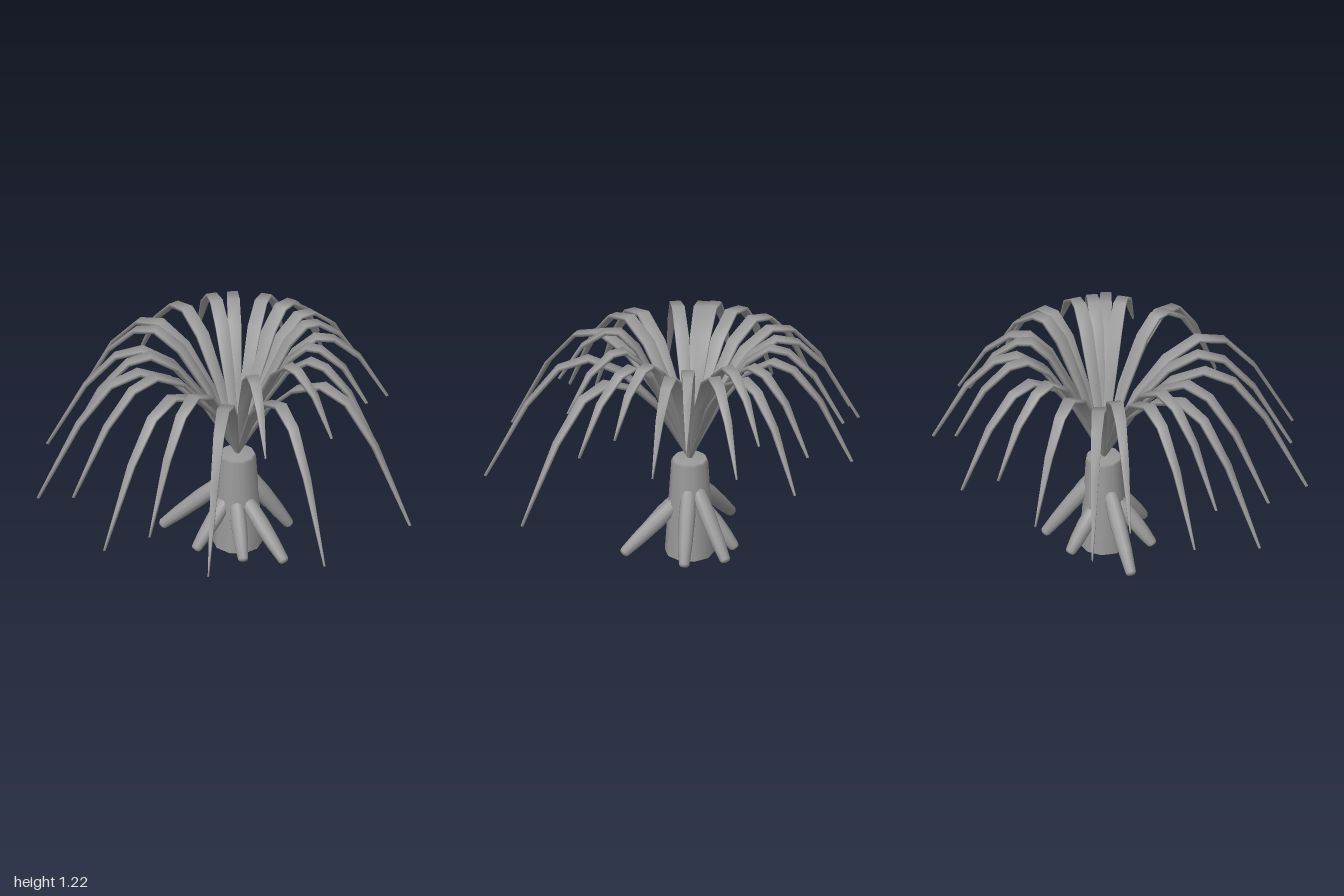
import * as THREE from 'three';

const material = new THREE.MeshStandardMaterial({ color: 0x999999 });
const CX = 0.09, CZ = -0.04; // plant axis

// Blade profiles (reach, height): longest drooping blade and shortest upright blade
const LONG = [[0, 0.53], [0.18, 0.86], [0.34, 1.03], [0.51, 1.11], [0.66, 1.06], [0.82, 0.86], [1.03, 0.455]];
const SHORT = [[0, 0.53], [0.14, 0.88], [0.27, 1.13], [0.36, 1.215], [0.43, 1.21], [0.55, 1.12], [0.67, 0.92]];
const HALF_WIDTH = [0.008, 0.026, 0.034, 0.032, 0.027, 0.019, 0.003];
const HALF_THICK = [0.006, 0.009, 0.009, 0.009, 0.009, 0.009, 0.007];

// Blade tips (x, z) seen from above
const TIPS = [
  [0.05, -0.99], [-0.13, -0.88], [-0.45, -0.83], [-0.76, -0.65], [-0.54, -0.64], [-0.78, -0.41],
  [-0.94, -0.09], [-0.84, 0.12], [-0.81, 0.47], [-0.34, 0.47], [-0.38, 0.875], [0.01, 0.62],
  [0.18, 0.985], [0.26, 0.7], [0.375, 0.56], [0.635, 0.49], [0.665, 0.31], [0.84, 0.12],
  [0.77, -0.05], [0.94, -0.16], [0.81, -0.31], [0.75, -0.6], [0.56, -0.66], [0.35, -0.87],
];

// Tapered strap-like blade with a rectangular cross-section and soft normals
function makeBlade([tx, tz]) {
  const dx = tx - CX, dz = tz - CZ, reach = Math.hypot(dx, dz);
  const t = THREE.MathUtils.clamp((1.03 - reach) / 0.36, 0, 1);
  const path = LONG.map((p, i) => [
    THREE.MathUtils.lerp(p[0], SHORT[i][0], t),
    THREE.MathUtils.lerp(p[1], SHORT[i][1], t),
  ]);
  const stretch = reach / path[6][0];
  const pos = [], idx = [];
  path.forEach(([r, y], i) => {
    const a = path[Math.max(i - 1, 0)], b = path[Math.min(i + 1, 6)];
    const len = Math.hypot(b[0] - a[0], b[1] - a[1]);
    const w = HALF_WIDTH[i], h = HALF_THICK[i];
    const ox = -(b[1] - a[1]) / len * h, oy = (b[0] - a[0]) / len * h;
    const x = r * stretch;
    pos.push(x - ox, y - oy, w, x + ox, y + oy, w, x + ox, y + oy, -w, x - ox, y - oy, -w);
    if (i === 6) return;
    for (let k = 0; k < 4; k++) {
      const p = i * 4 + k, q = i * 4 + (k + 1) % 4;
      idx.push(p, p + 4, q, q, p + 4, q + 4);
    }
  });
  idx.push(24, 26, 25, 24, 27, 26); // tip cap
  const geo = new THREE.BufferGeometry();
  geo.setAttribute('position', new THREE.Float32BufferAttribute(pos, 3));
  geo.setIndex(idx);
  geo.computeVertexNormals();
  const blade = new THREE.Mesh(geo, material);
  blade.name = 'leafBlade';
  blade.position.set(CX, 0, CZ);
  blade.rotation.y = Math.atan2(-dz, dx);
  return blade;
}

// Tapered prop root with rounded ends, running from the trunk to its tip
function makeRoot([from, to]) {
  const a = new THREE.Vector3(...from), b = new THREE.Vector3(...to);
  const len = a.distanceTo(b);
  const profile = [[0, -0.03], [0.025, -0.02], [0.038, 0.015], [0.042, len * 0.35], [0.036, len * 0.7],
    [0.027, len - 0.012], [0.02, len], [0, len + 0.004]].map(p => new THREE.Vector2(...p));
  const root = new THREE.Mesh(new THREE.LatheGeometry(profile, 10), material);
  root.name = 'propRoot';
  root.position.copy(a);
  root.quaternion.setFromUnitVectors(new THREE.Vector3(0, 1, 0), b.sub(a).normalize());
  return root;
}

const ROOTS = [
  [[0.15, 0.385, -0.045], [0.385, 0.065, -0.08]],
  [[0.14, 0.385, -0.005], [0.31, 0.055, 0.12]],
  [[0.07, 0.28, 0.04], [0.025, 0.05, 0.31]],
  [[0.02, 0.28, -0.06], [-0.165, 0.055, -0.11]],
  [[0.05, 0.35, -0.11], [-0.085, 0.055, -0.385]],
  [[0.13, 0.25, -0.1], [0.245, 0.045, -0.215]],
  [[0.03, 0.28, 0], [-0.095, 0.05, 0.14]],
];

export function createModel() {
  const model = new THREE.Group();
  model.name = 'plant';

  // Tapered trunk with softened rims
  const profile = [[0, 0], [0.115, 0], [0.126, 0.008], [0.093, 0.52], [0.084, 0.533], [0, 0.537]]
    .map(p => new THREE.Vector2(...p));
  const trunk = new THREE.Mesh(new THREE.LatheGeometry(profile, 10), material);
  trunk.name = 'trunk';
  trunk.position.set(CX, 0, CZ);

  const roots = new THREE.Group();
  roots.name = 'roots';
  ROOTS.forEach(r => roots.add(makeRoot(r)));

  const crown = new THREE.Group();
  crown.name = 'leafCrown';
  TIPS.forEach(t => crown.add(makeBlade(t)));

  model.add(trunk, roots, crown);
  return model;
}
